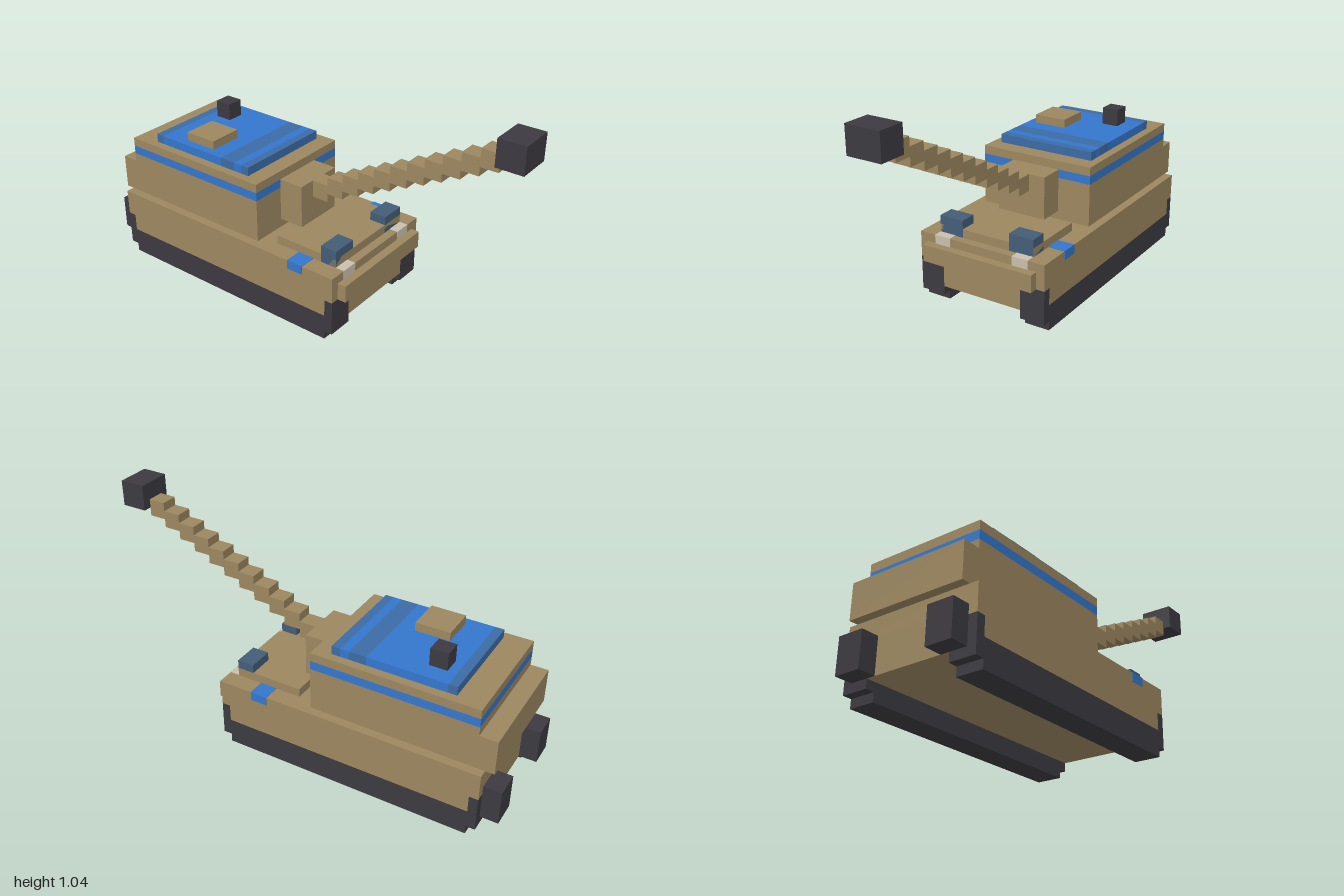
import * as THREE from 'three';

const material = (name, color) => {
  const m = new THREE.MeshStandardMaterial({ color });
  m.name = name;
  return m;
};

export function createModel() {
  const tan = material('tan armour', 0x9c8760);
  const dark = material('dark rubber', 0x3c3a40);
  const blue = material('bright blue', 0x3476cc);
  const deepBlue = material('deep blue', 0x3b6ba5);
  const glass = material('slate glass', 0x435d77);
  const pale = material('pale lamp', 0xc9bfae);

  const model = new THREE.Group();
  model.name = 'tank';

  // Box given by its limits on each axis
  const box = (name, mat, [x0, x1], [y0, y1], [z0, z1]) => {
    const mesh = new THREE.Mesh(new THREE.BoxGeometry(x1 - x0, y1 - y0, z1 - z0), mat);
    mesh.position.set((x0 + x1) / 2, (y0 + y1) / 2, (z0 + z1) / 2);
    mesh.name = name;
    model.add(mesh);
  };
  // The same box on the left and mirrored on the right
  const pair = (name, mat, [x0, x1], y, z) => {
    box(name + 'Left', mat, [x0, x1], y, z);
    box(name + 'Right', mat, [-x1, -x0], y, z);
  };

  // Hull
  box('belly', tan, [-0.2, 0.2], [0.08, 0.24], [-0.92, 0.32]);
  box('hullTop', tan, [-0.32, 0.32], [0.24, 0.32], [-0.92, 0.32]);
  pair('sideSkirt', tan, [0.2, 0.32], [0.12, 0.24], [-0.88, 0.28]);
  pair('frontFender', tan, [0.2, 0.32], [0.2, 0.24], [0.28, 0.32]);
  pair('rearFender', tan, [0.2, 0.32], [0.2, 0.24], [-0.92, -0.88]);
  box('frontPlate', tan, [-0.28, 0.28], [0.2, 0.28], [0.32, 0.36]);
  box('frontDeck', tan, [-0.24, 0.24], [0.32, 0.36], [-0.04, 0.28]);

  // Tracks with raised ends
  pair('track', dark, [0.2, 0.32], [0, 0.12], [-0.88, 0.28]);
  pair('trackFront', dark, [0.2, 0.32], [0.04, 0.2], [0.28, 0.32]);
  pair('trackRear', dark, [0.2, 0.32], [0.04, 0.2], [-0.92, -0.88]);
  pair('exhaust', dark, [0.16, 0.28], [0.08, 0.24], [-1, -0.92]);

  // Lamps and painted side marks
  pair('lampHousing', glass, [0.12, 0.24], [0.32, 0.4], [0.2, 0.28]);
  pair('headlamp', pale, [0.16, 0.24], [0.28, 0.322], [0.28, 0.322]);
  pair('sideMark', blue, [0.24, 0.322], [0.28, 0.322], [0.08, 0.16]);

  // Turret in layers, with a stripe all round
  box('turretBody', tan, [-0.28, 0.28], [0.32, 0.52], [-0.88, -0.12]);
  box('turretStripe', blue, [-0.28, 0.28], [0.52, 0.56], [-0.88, -0.12]);
  box('turretTop', tan, [-0.28, 0.28], [0.56, 0.6], [-0.88, -0.12]);
  box('turretBustle', tan, [-0.28, 0.28], [0.32, 0.48], [-0.96, -0.88]);

  // Roof panel in alternating bands
  const bands = [-0.76, -0.72, -0.36, -0.28, -0.24, -0.2];
  for (let i = 0; i < bands.length - 1; i++) {
    box('roofBand' + (i + 1), i % 2 ? blue : deepBlue, [-0.24, 0.24], [0.6, 0.64], [bands[i], bands[i + 1]]);
  }
  box('hatch', tan, [-0.2, -0.04], [0.64, 0.68], [-0.6, -0.44]);
  box('periscope', dark, [0.08, 0.16], [0.64, 0.72], [-0.68, -0.6]);

  // Gun: mantlet, stepped barrel and muzzle
  box('mantlet', tan, [-0.12, 0.12], [0.36, 0.56], [-0.12, 0]);
  for (let i = 0; i < 11; i++) {
    const y = 0.48 + i * 0.04, z = i * 0.08;
    box('barrelStep' + (i + 1), tan, [-0.04, 0.04], [y, y + 0.08], [z, z + 0.08]);
  }
  box('muzzle', dark, [-0.08, 0.08], [0.92, 1.04], [0.88, 1]);

  return model;
}
